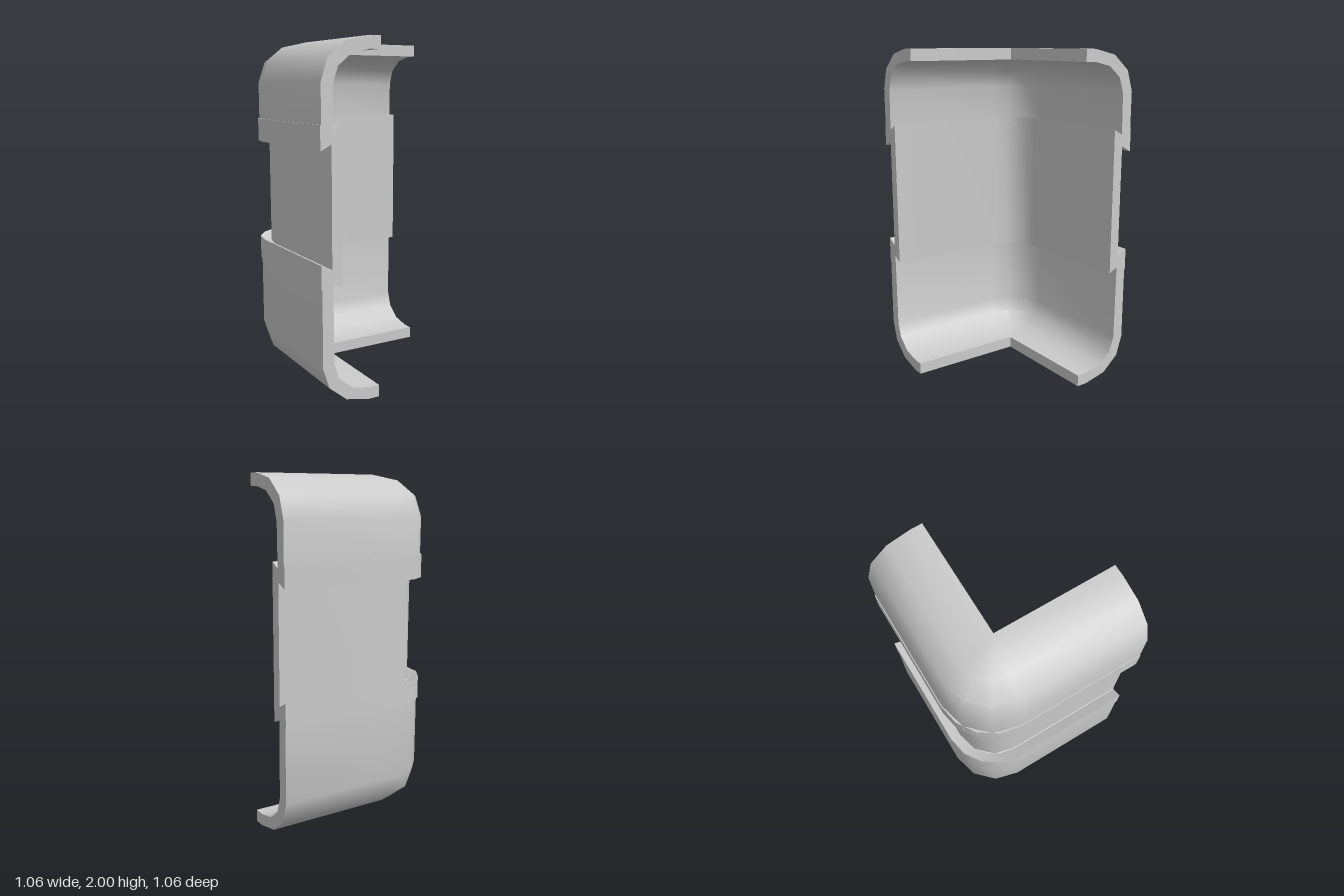
import * as THREE from 'three';
import { toCreasedNormals } from 'three/addons/utils/BufferGeometryUtils.js';

const END = 0.53;      // where both arms stop
const CENTRE = -0.22;  // centre of the rounded corner in x and z

// Sweep a closed profile of [x, y] points along one arm, round the corner and out along the other
function cornerSweep(points, segments) {
  const profile = points.map(([x, y]) => new THREE.Vector2(x, y));
  if (THREE.ShapeUtils.isClockWise(profile)) profile.reverse();

  const station = (k) => profile.map(({ x, y }) => {
    if (k < 0) return new THREE.Vector3(x, y, END);
    if (k > segments) return new THREE.Vector3(END, y, x);
    // Points inside the corner centre meet in a sharp mitre
    const c = Math.max(x, CENTRE);
    const r = Math.max(0, CENTRE - x);
    const a = (k / segments) * Math.PI / 2;
    return new THREE.Vector3(c - r * Math.cos(a), y, c - r * Math.sin(a));
  });
  const rings = [];
  for (let k = -1; k <= segments + 1; k++) rings.push(station(k));

  const positions = [];
  const tri = new THREE.Triangle();
  const add = (a, b, c) => {
    tri.set(a, b, c);
    if (tri.getArea() > 1e-8) positions.push(...a, ...b, ...c);
  };
  for (let s = 0; s < rings.length - 1; s++) {
    const p = rings[s], q = rings[s + 1];
    for (let i = 0; i < p.length; i++) {
      const j = (i + 1) % p.length;
      add(p[i], q[i], p[j]);
      add(p[j], q[i], q[j]);
    }
  }
  // End caps
  const first = rings[0], last = rings[rings.length - 1];
  for (const [a, b, c] of THREE.ShapeUtils.triangulateShape(profile, [])) {
    add(first[a], first[b], first[c]);
    add(last[a], last[c], last[b]);
  }
  const geometry = new THREE.BufferGeometry();
  geometry.setAttribute('position', new THREE.Float32BufferAttribute(positions, 3));
  return toCreasedNormals(geometry, 0.7);
}

// Quarter-ellipse points from the wall up to the top flange
function bend(rx, ry, cy) {
  return [0, 1, 2, 3].map((i) => {
    const a = (i * Math.PI) / 6;
    return [-0.235 - rx * Math.cos(a), cy + ry * Math.sin(a)];
  });
}

export function createModel() {
  const group = new THREE.Group();
  const material = new THREE.MeshStandardMaterial({ color: 0xcccccc, side: THREE.DoubleSide });
  const part = (name, points, segments) => {
    const mesh = new THREE.Mesh(cornerSweep(points, segments), material);
    mesh.name = name;
    group.add(mesh);
  };
  const flip = (points, sum) => points.map(([x, y]) => [x, sum - y]);

  // Curved shells: wall, bend and flange, ending inside the joints
  const shell = (wallEnd) => [
    [-0.525, wallEnd],
    ...bend(0.29, 0.24, 1.76),
    [-0.17, 2], [-0.17, 1.93],
    ...bend(0.22, 0.18, 1.75).reverse(),
    [-0.46, wallEnd],
  ];
  part('upperShell', shell(1.5), 3);
  part('lowerShell', flip(shell(1.28), 2), 3);

  // Hooked bands along the shell edges
  const band = [[-0.53, 1.545], [-0.53, 1.41], [-0.405, 1.475], [-0.46, 1.51], [-0.52, 1.545]];
  part('upperBand', band, 4);
  part('lowerBand', flip(band, 2.22), 4);

  // Recessed middle panel with a hooked lip at both edges
  const lip = [[-0.465, 1.44], [-0.527, 1.475], [-0.403, 1.545]];
  part('middlePanel', [...lip, ...flip(lip, 2.22).reverse()], 3);

  return group;
}
